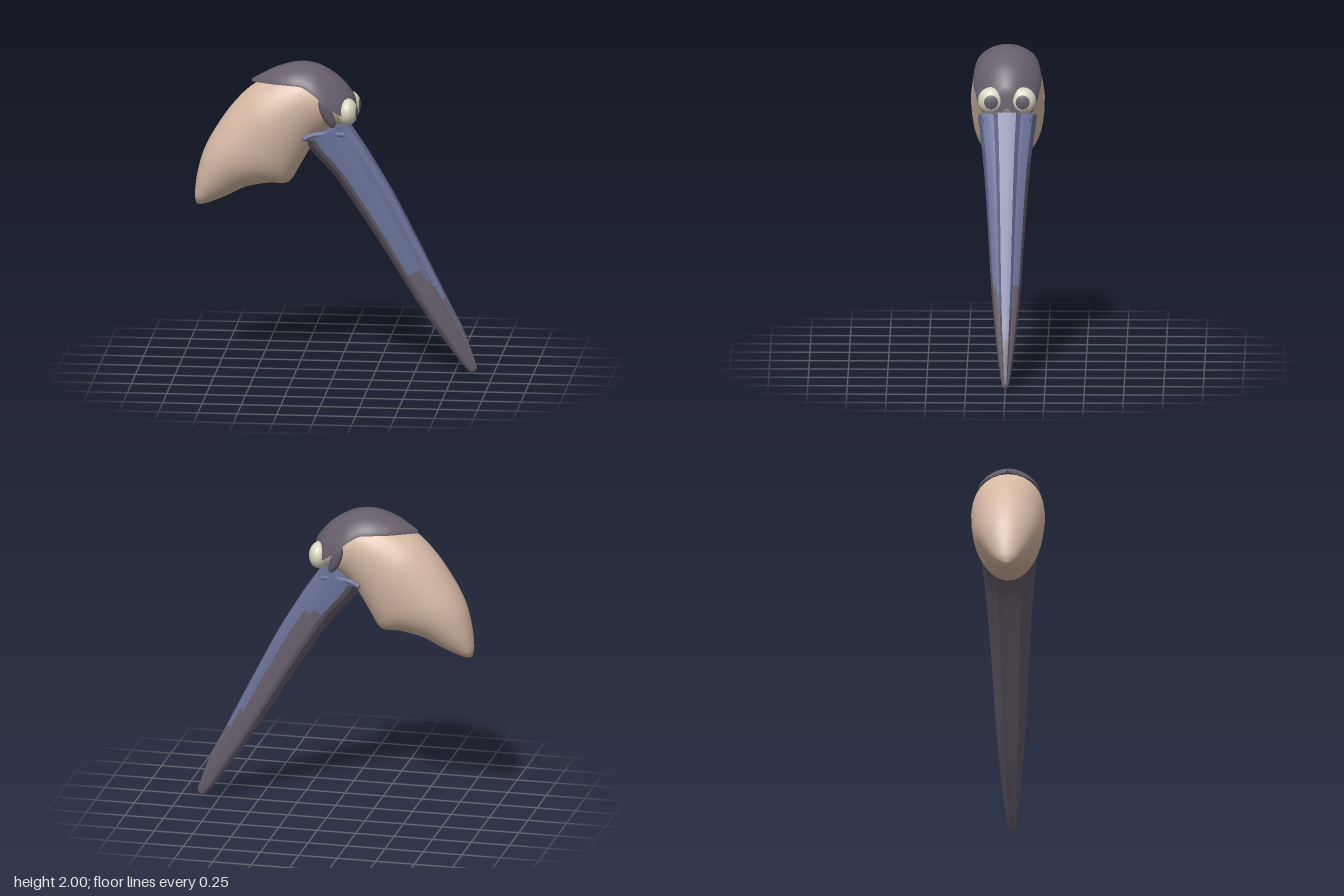
import * as THREE from 'three';
import { toCreasedNormals } from 'three/addons/utils/BufferGeometryUtils.js';

const mat = (name, color, side = THREE.FrontSide) => {
  const m = new THREE.MeshStandardMaterial({ color, side });
  m.name = name;
  return m;
};

// Smoothly resample stations [topX, topY, bottomX, bottomY, halfWidth]
function resample(stations, count) {
  const curve = f => new THREE.CatmullRomCurve3(stations.map(f), false, 'catmullrom', 0.4);
  const top = curve(s => new THREE.Vector3(s[0], s[1], s[4]));
  const bottom = curve(s => new THREE.Vector3(s[2], s[3], 0));
  return Array.from({ length: count + 1 }, (_, i) => {
    const a = top.getPoint(i / count), b = bottom.getPoint(i / count);
    return [a.x, a.y, b.x, b.y, Math.max(a.z, 0.003)];
  });
}

// Skin rings of points; pick(point) chooses the material group of each quad
function loft(rings, { closed = true, crease = 1, pick = () => 0 } = {}) {
  const n = rings[0].length, pos = rings.flat(2), faces = [[], []];
  for (let i = 0; i < rings.length - 1; i++) {
    for (let j = 0; j < (closed ? n : n - 1); j++) {
      const k = (j + 1) % n, a = i * n + j, b = i * n + k;
      faces[pick(rings[i][j], j, k)].push(a, b, a + n, b, b + n, a + n);
    }
  }
  if (closed) {
    // Close both ends with fans
    [[0, false], [rings.length - 1, true]].forEach(([i, last]) => {
      const id = pos.length / 3;
      pos.push(...[0, 1, 2].map(d => rings[i].reduce((s, p) => s + p[d], 0) / n));
      for (let j = 0; j < n; j++) {
        const k = (j + 1) % n, a = i * n + j, b = i * n + k;
        faces[pick(rings[i][j], j, k)].push(id, last ? a : b, last ? b : a);
      }
    });
  }
  const g = new THREE.BufferGeometry();
  g.setAttribute('position', new THREE.Float32BufferAttribute(pos, 3));
  g.setIndex(faces.flat());
  g.addGroup(0, faces[0].length, 0);
  if (faces[1].length) g.addGroup(faces[0].length, faces[1].length, 1);
  return toCreasedNormals(g, crease);
}

export function createModel() {
  const model = new THREE.Group();
  model.name = 'birdHead';
  const skin = mat('tan skin', 0xd6b9a4);
  const dark = mat('dark plumage', 0x665e6a, THREE.DoubleSide);
  const blue = mat('blue horn', 0x687096);
  const cream = mat('cream eye', 0xd6d5c0);

  const add = (name, geometry, material) => {
    const mesh = new THREE.Mesh(geometry, material);
    mesh.name = name;
    model.add(mesh);
    return mesh;
  };

  // Head and drooping nape, slightly narrower underneath
  const headStations = [
    [-0.89, 1.075, -0.872, 1.06, 0.015], [-0.898, 1.13, -0.82, 1.07, 0.062],
    [-0.885, 1.25, -0.70, 1.12, 0.12], [-0.85, 1.39, -0.57, 1.185, 0.168],
    [-0.79, 1.52, -0.42, 1.215, 0.202], [-0.68, 1.69, -0.30, 1.22, 0.222],
    [-0.55, 1.83, -0.23, 1.33, 0.232], [-0.38, 1.925, -0.16, 1.45, 0.222],
    [-0.20, 1.965, -0.10, 1.53, 0.2], [-0.05, 1.91, -0.03, 1.58, 0.175],
    [0.05, 1.8, 0.04, 1.6, 0.13], [0.09, 1.68, 0.08, 1.63, 0.04],
  ];
  const headRings = resample(headStations, 44).map(([ax, ay, bx, by, w]) =>
    Array.from({ length: 32 }, (_, j) => {
      const a = j / 32 * Math.PI * 2, c = Math.cos(a);
      return [(ax + bx + (ax - bx) * c) / 2, (ay + by + (ay - by) * c) / 2,
        w * Math.sin(a) * (1 + 0.12 * c)];
    }));
  add('head', loft(headRings), [skin]);

  // Crown cap: arches from one lower edge over to the other
  const capStations = [
    [-0.535, 1.885, -0.535, 1.865, 0.004], [-0.47, 1.92, -0.47, 1.875, 0.075],
    [-0.38, 1.963, -0.38, 1.882, 0.145], [-0.28, 1.993, -0.28, 1.885, 0.188],
    [-0.2, 2.0, -0.2, 1.878, 0.2], [-0.12, 1.987, -0.12, 1.83, 0.214],
    [-0.05, 1.955, -0.05, 1.765, 0.212], [0.02, 1.908, 0.02, 1.71, 0.188],
    [0.08, 1.845, 0.08, 1.67, 0.15], [0.12, 1.78, 0.12, 1.645, 0.095],
    [0.132, 1.66, 0.132, 1.635, 0.03],
  ];
  const capRings = resample(capStations, 40).map(([x, top, , edge, w]) =>
    Array.from({ length: 25 }, (_, j) => {
      const a = (j / 24 - 0.5) * Math.PI;
      return [x, edge + (top - edge) * Math.max(Math.cos(a), 0) ** 1.3, w * Math.sin(a)];
    }));
  add('crownCap', loft(capRings, { closed: false }), [dark]);

  // Bill: ridged top, grooved sides and a dark underside and tip
  const billStations = [
    [0.07, 1.635, -0.19, 1.512, 0.185], [0.11, 1.57, -0.14, 1.435, 0.174],
    [0.21, 1.42, 0.0, 1.28, 0.152], [0.36, 1.17, 0.15, 1.06, 0.13],
    [0.5, 0.9, 0.31, 0.81, 0.111], [0.61, 0.68, 0.45, 0.58, 0.096],
    [0.72, 0.46, 0.58, 0.375, 0.076], [0.81, 0.285, 0.7, 0.205, 0.055],
    [0.86, 0.15, 0.787, 0.085, 0.037], [0.895, 0.045, 0.843, 0.018, 0.021],
    [0.888, 0.018, 0.865, 0.002, 0.008],
  ];
  // Half section: [depth, width] from the ridge down to the keel
  const half = [[0, 0], [0.02, 0.32], [0.17, 0.48], [0.21, 0.66], [0.3, 0.88],
    [0.5, 0.99], [0.74, 1], [0.84, 0.91], [1, 0.5], [0.97, 0]];
  const section = [...half, ...half.slice(1, -1).reverse().map(([u, v]) => [u, -v])];
  const billRings = resample(billStations, 50).map(([ax, ay, bx, by, w]) =>
    section.map(([u, v]) => [ax + (bx - ax) * u, ay + (by - ay) * u, w * v]));
  const billColour = ([, y], j, k) => {
    const u = (section[j][0] + section[k][0]) / 2;
    const onRight = section[j][1] + section[k][1] < 0;
    if (u > 0.76) return 1;
    // The right flank is dark almost up to the root
    if (onRight && u > 0.35) return y < 1.32 ? 1 : 0;
    const limit = u < 0.05 ? 0.33 : u < 0.15 ? 0.5 : u < 0.35 ? 0.62 : 0.7;
    return y < limit ? 1 : 0;
  };
  add('bill', loft(billRings, { crease: 0.35, pick: billColour }), [blue, dark]);

  for (const s of [1, -1]) {
    const side = s > 0 ? 'left' : 'right';

    // Raised lip at the bill's root
    const lip = new THREE.CatmullRomCurve3([
      [0.06, 1.562, 0.13], [-0.04, 1.57, 0.15], [-0.14, 1.56, 0.165], [-0.185, 1.54, 0.17],
    ].map(([x, y, z]) => new THREE.Vector3(x, y, z * s)));
    add(side + 'BillLip', new THREE.TubeGeometry(lip, 16, 0.016, 10), blue);
    add(side + 'BillCorner', new THREE.SphereGeometry(0.016, 12, 8), blue)
      .position.copy(lip.getPoint(1));

    // Bulging eye with a forward pupil
    const eye = add(side + 'Eye', new THREE.SphereGeometry(1, 32, 20), cream);
    eye.position.set(0.083, 1.705, 0.1 * s);
    eye.scale.set(0.063, 0.086, 0.084);
    const pupilGeo = new THREE.SphereGeometry(1.02, 24, 6, 0, Math.PI * 2, 0, 0.54);
    const pupil = add(side + 'Pupil', pupilGeo.rotateZ(-Math.PI / 2), dark);
    pupil.position.copy(eye.position);
    pupil.scale.copy(eye.scale);

    // Dark leaf-shaped patch behind the eye
    const cheek = add(side + 'CheekPatch', new THREE.SphereGeometry(1, 20, 14), dark);
    cheek.scale.set(0.036, 0.108, 0.024);
    cheek.position.set(-0.042, 1.705, 0.17 * s);
    cheek.rotation.set(0.12 * s, 0.3 * s, 0.42);
  }
  return model;
}
